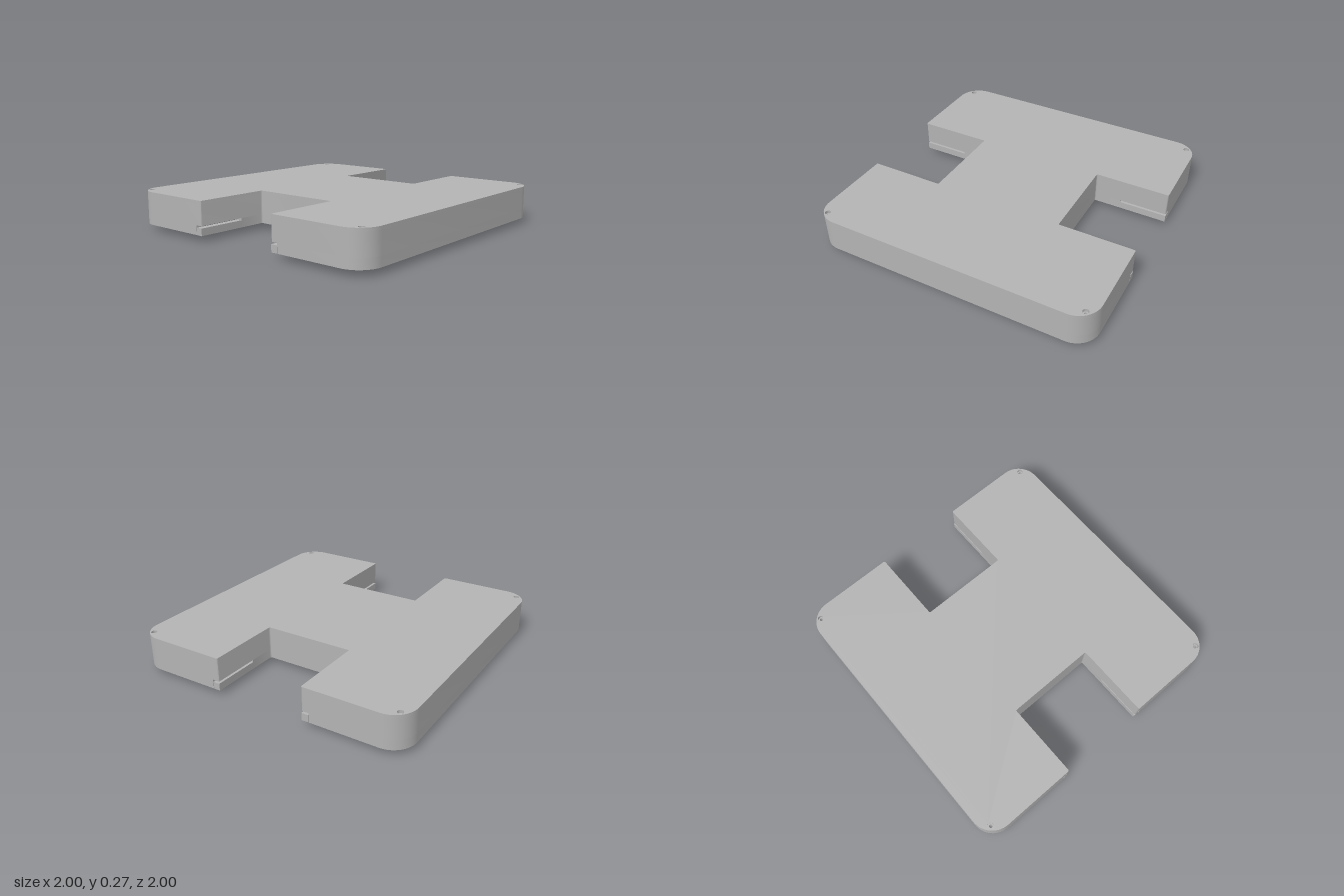
import * as THREE from 'three';
import { toCreasedNormals } from 'three/addons/utils/BufferGeometryUtils.js';

const BOTTOM = 0.04, SLOT_LOW = 0.09, SLOT_HIGH = 0.105, CEILING = 0.25, TOP = 0.27;
const WALL = 0.05, NOTCH_X = 0.318, NOTCH_Z = 0.468, CLIP_END = 0.66;

// Closed path from [x, y, radius] corners, all right-angled
function roundedPath(corners, path) {
  const n = corners.length;
  const toward = (a, b, d) => {
    const len = Math.hypot(b[0] - a[0], b[1] - a[1]);
    return [a[0] + (b[0] - a[0]) * d / len, a[1] + (b[1] - a[1]) * d / len];
  };
  corners.forEach((c, i) => {
    const before = corners[(i + n - 1) % n], after = corners[(i + 1) % n], r = c[2] || 0;
    const start = toward(c, before, r), end = toward(c, after, r);
    if (i === 0) path.moveTo(...start);
    else path.lineTo(...start);
    if (r) path.bezierCurveTo(...toward(c, before, r * 0.448), ...toward(c, after, r * 0.448), ...end);
  });
  path.closePath();
  return path;
}

// H-shaped outline, moved inward by d
function hOutline(d, path) {
  const e = 1 - d, r = 0.16 - d, x = NOTCH_X + d, z = NOTCH_Z - d, f = 0.01;
  return roundedPath([
    [e, -e, r], [e, e, r], [x, e, f], [x, z, f], [-x, z, f], [-x, e, f],
    [-e, e, r], [-e, -e, r], [-x, -e, f], [-x, -z, f], [x, -z, f], [x, -e, f],
  ], path);
}

function addHole(shape, x, y, radius) {
  shape.holes.push(new THREE.Path().absarc(x, y, radius, 0, Math.PI * 2, true));
}

// Extrudes a plan shape upward between two heights
function slab(shape, y0, y1) {
  const g = new THREE.ExtrudeGeometry(shape, { depth: y1 - y0, bevelEnabled: false, curveSegments: 14 });
  g.rotateX(-Math.PI / 2);
  g.translate(0, y0, 0);
  return toCreasedNormals(g, 0.5);
}

export function createModel() {
  const group = new THREE.Group();
  const grey = new THREE.MeshStandardMaterial({ color: 0xb3b3b3 });
  grey.name = 'light grey';
  const add = (name, geometry, x = 0, y = 0, z = 0) => {
    const mesh = new THREE.Mesh(geometry, grey);
    mesh.name = name;
    mesh.position.set(x, y, z);
    group.add(mesh);
  };
  const signs = [-1, 1];

  // Top plate with corner holes
  const plate = hOutline(0, new THREE.Shape());
  for (const sx of signs) for (const sz of signs) addHole(plate, sx * 0.933, sz * 0.933, 0.02);
  add('topPlate', slab(plate, CEILING, TOP));

  // Upper wall, unbroken above the clip slots
  const upper = hOutline(0, new THREE.Shape());
  upper.holes.push(hOutline(WALL, new THREE.Path()));
  for (const sx of signs) for (const sz of signs) addHole(upper, sx * 0.933, sz * 0.933, 0.011);
  add('upperWall', slab(upper, SLOT_HIGH, CEILING));

  for (const s of signs) {
    // Lower side wall, C-shaped in plan
    const x = NOTCH_X + WALL, i = 1 - WALL;
    const side = roundedPath([
      [s * x, -1], [s, -1, 0.16], [s, 1, 0.16], [s * x, 1],
      [s * x, i], [s * i, i, 0.11], [s * i, -i, 0.11], [s * x, -i],
    ], new THREE.Shape());
    for (const sz of signs) addHole(side, s * 0.933, sz * 0.933, 0.011);
    add('lowerSideWall', slab(side, BOTTOM, SLOT_HIGH));

    // Lower notch wall, U-shaped in plan
    const z = NOTCH_Z - WALL;
    const notch = roundedPath([
      [-x, s * CLIP_END], [-x, s * z, 0.01], [x, s * z, 0.01], [x, s * CLIP_END],
      [NOTCH_X, s * CLIP_END], [NOTCH_X, s * NOTCH_Z, 0.01],
      [-NOTCH_X, s * NOTCH_Z, 0.01], [-NOTCH_X, s * CLIP_END],
    ], new THREE.Shape());
    add('lowerNotchWall', slab(notch, BOTTOM, SLOT_HIGH));
  }

  // Corner posts, locating pins and flexing clips under the slots
  const post = new THREE.CylinderGeometry(0.117, 0.117, CEILING - BOTTOM, 40);
  const pin = new THREE.CylinderGeometry(0.008, 0.008, BOTTOM + 0.01, 12);
  const clip = new THREE.BoxGeometry(WALL - 0.003, SLOT_LOW - BOTTOM, 1 - CLIP_END);
  for (const sx of signs) for (const sz of signs) {
    add('cornerPost', post, sx * 0.833, (CEILING + BOTTOM) / 2, sz * 0.833);
    add('locatingPin', pin, sx * 0.833, (BOTTOM + 0.01) / 2, sz * 0.833);
    add('clipArm', clip, sx * (NOTCH_X + WALL / 2 - 0.0015), (SLOT_LOW + BOTTOM) / 2, sz * (1 + CLIP_END) / 2);
  }
  return group;
}
